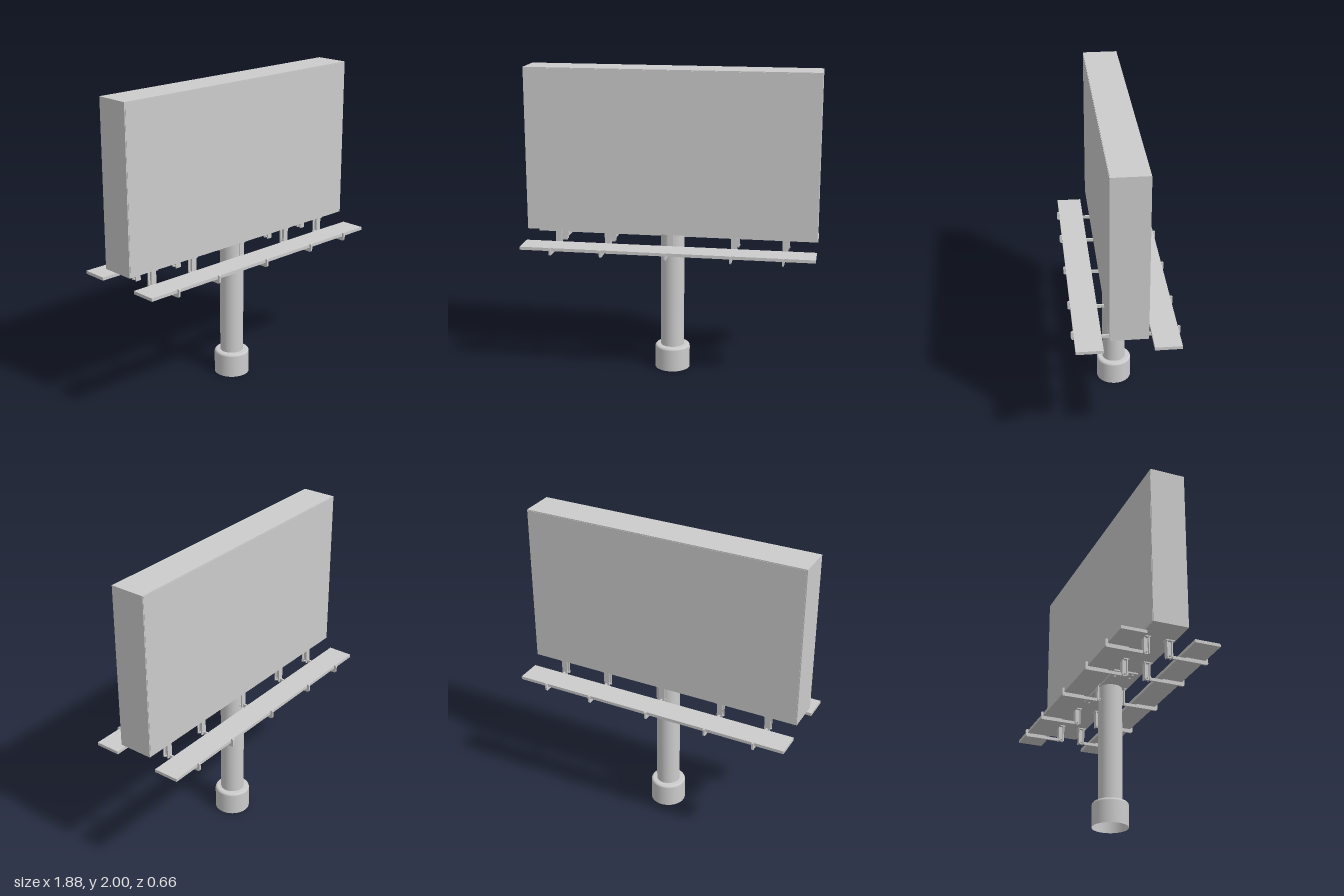
import * as THREE from 'three';

const material = new THREE.MeshStandardMaterial({ color: 0xcccccc });
const openMaterial = new THREE.MeshStandardMaterial({ color: 0xcccccc, side: THREE.DoubleSide });

function add(parent, name, geometry, x = 0, y = 0, z = 0, mat = material) {
  const mesh = new THREE.Mesh(geometry, mat);
  mesh.name = name;
  mesh.position.set(x, y, z);
  parent.add(mesh);
  return mesh;
}

const box = (w, h, d) => new THREE.BoxGeometry(w, h, d);

// Vertical I-beam, flanges facing front and back
function beamGeometry(w, d, t, height) {
  const a = w / 2, b = d / 2, c = t / 2;
  const outline = [
    [-a, -b], [a, -b], [a, -b + t], [c, -b + t], [c, b - t], [a, b - t],
    [a, b], [-a, b], [-a, b - t], [-c, b - t], [-c, -b + t], [-a, -b + t],
  ].map(([x, y]) => new THREE.Vector2(x, y));
  const g = new THREE.ExtrudeGeometry(new THREE.Shape(outline), { depth: height, bevelEnabled: false });
  return g.rotateX(-Math.PI / 2);
}

// Upturned walkway arm: side profile in (z, y), extruded across x
function armGeometry(width) {
  const outline = [
    [0.06, 0.83], [0.322, 0.83], [0.33, 0.838], [0.33, 0.88], [0.325, 0.885],
    [0.315, 0.885], [0.315, 0.855], [0.185, 0.855], [0.18, 0.85], [0.06, 0.85],
  ].map(([z, y]) => new THREE.Vector2(z, y));
  const g = new THREE.ExtrudeGeometry(new THREE.Shape(outline), { depth: width, bevelEnabled: false });
  return g.translate(0, 0, -width / 2).rotateY(-Math.PI / 2);
}

// One walkway with its hangers, on the +z side
function createWalkway() {
  const side = new THREE.Group();
  add(side, 'walkwayPlank', box(1.88, 0.02, 0.165), 0, 0.868, 0.2325);

  const beam = beamGeometry(0.038, 0.038, 0.007, 0.115);
  const arm = armGeometry(0.012);
  const foot = box(0.046, 0.008, 0.056);
  const bolt = new THREE.CylinderGeometry(0.005, 0.005, 0.046, 8).rotateZ(Math.PI / 2);

  for (const x of [-0.74, -0.413, 0, 0.413, 0.74]) {
    const bracket = new THREE.Group();
    bracket.name = 'walkwayBracket';
    bracket.position.x = x;
    add(bracket, 'hanger', beam, 0, 0.83, 0.075);
    add(bracket, 'hangerFoot', foot, 0, 0.941, 0.077);
    add(bracket, 'arm', arm);
    add(bracket, 'bolt', bolt, 0, 0.841, 0.075);
    side.add(bracket);
  }
  return side;
}

export function createModel() {
  const model = new THREE.Group();

  // Footing with a rounded shoulder, open underneath
  const footing = [
    [0.115, 0], [0.115, 0.143], [0.1135, 0.15], [0.109, 0.156], [0.102, 0.16], [0.07, 0.16],
  ].map(([r, y]) => new THREE.Vector2(r, y));
  add(model, 'footing', new THREE.LatheGeometry(footing, 40), 0, 0, 0, openMaterial);

  // Pole
  add(model, 'pole', new THREE.CylinderGeometry(0.077, 0.077, 0.79, 40, 1, true), 0, 0.55, 0, openMaterial);

  // Mounting plate and its bolts
  add(model, 'mountingPlate', box(0.54, 0.01, 0.16), 0, 0.937, 0);
  const plateBolt = new THREE.CylinderGeometry(0.007, 0.007, 0.01, 6);
  for (const x of [-0.25, -0.2, 0.2, 0.25])
    for (const z of [-0.05, 0.05]) add(model, 'plateBolt', plateBolt, x, 0.929, z);

  // Display box with a thin face on both sides
  add(model, 'displayBox', box(1.88, 1.055, 0.226), 0, 1.4725, 0);
  for (const s of [1, -1]) {
    add(model, 'displayFace', box(1.868, 1.043, 0.002), 0, 1.4725, s * 0.114);
  }

  // Walkways front and back
  for (const [name, turn] of [['frontWalkway', 0], ['backWalkway', Math.PI]]) {
    const walkway = createWalkway();
    walkway.name = name;
    walkway.rotation.y = turn;
    model.add(walkway);
  }

  return model;
}
